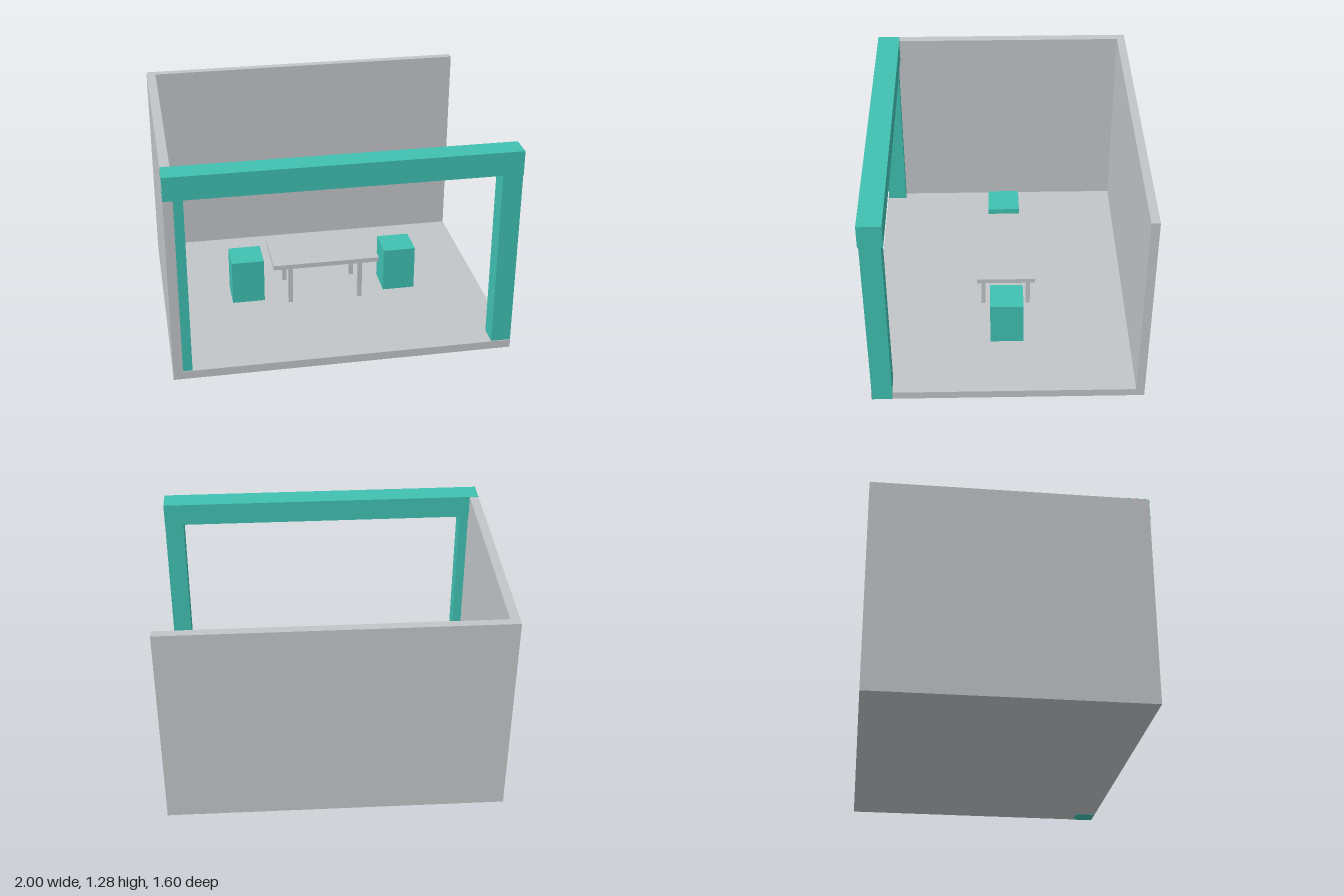
import * as THREE from 'three';

export function createModel() {
  const model = new THREE.Group();
  model.name = 'exhibitionBooth';

  const grey = new THREE.MeshStandardMaterial({ color: 0xc2c5c8 });
  grey.name = 'panel grey';
  const teal = new THREE.MeshStandardMaterial({ color: 0x40c1b2 });
  teal.name = 'frame teal';

  // Box given by its lower and upper bounds on each axis
  function box(name, material, [x0, x1], [y0, y1], [z0, z1], parent = model) {
    const mesh = new THREE.Mesh(new THREE.BoxGeometry(x1 - x0, y1 - y0, z1 - z0), material);
    mesh.position.set((x0 + x1) / 2, (y0 + y1) / 2, (z0 + z1) / 2);
    mesh.name = name;
    parent.add(mesh);
    return mesh;
  }

  function group(name) {
    const g = new THREE.Group();
    g.name = name;
    model.add(g);
    return g;
  }

  // Floor slab and the two walls
  const shell = group('shell');
  box('floor', grey, [-1, 1], [0, 0.05], [-0.8, 0.8], shell);
  box('backWall', grey, [-1, 1], [0.05, 1.28], [-0.8, -0.75], shell);
  box('sideWall', grey, [-1, -0.945], [0.05, 1.28], [-0.75, 0.8], shell);

  // Front portal; a hair proud of the shell so shared faces stay clean
  const e = 0.001;
  const portal = group('portal');
  box('beam', teal, [-1, 1 + e], [1.14, 1.28 + e], [0.663, 0.8 + e], portal);
  box('rightPost', teal, [-0.998, -0.89], [0.01, 1.14], [0.675, 0.795], portal);
  box('leftPost', teal, [0.885, 1 + e], [-e, 1.14], [0.675, 0.795], portal);

  // Table with four square legs
  const table = group('table');
  box('tableTop', grey, [-0.33, 0.33], [0.303, 0.332], [-0.182, 0.175], table);
  for (const x of [-0.235, 0.203]) {
    for (const z of [-0.155, 0.124]) {
      box('tableLeg', grey, [x, x + 0.027], [0.05, 0.303], [z, z + 0.026], table);
    }
  }

  // Block stools at either end of the table
  for (const x of [-0.58, 0.38]) {
    box('stool', teal, [x, x + 0.2], [0.05, 0.33], [-0.103, 0.097]);
  }

  return model;
}
